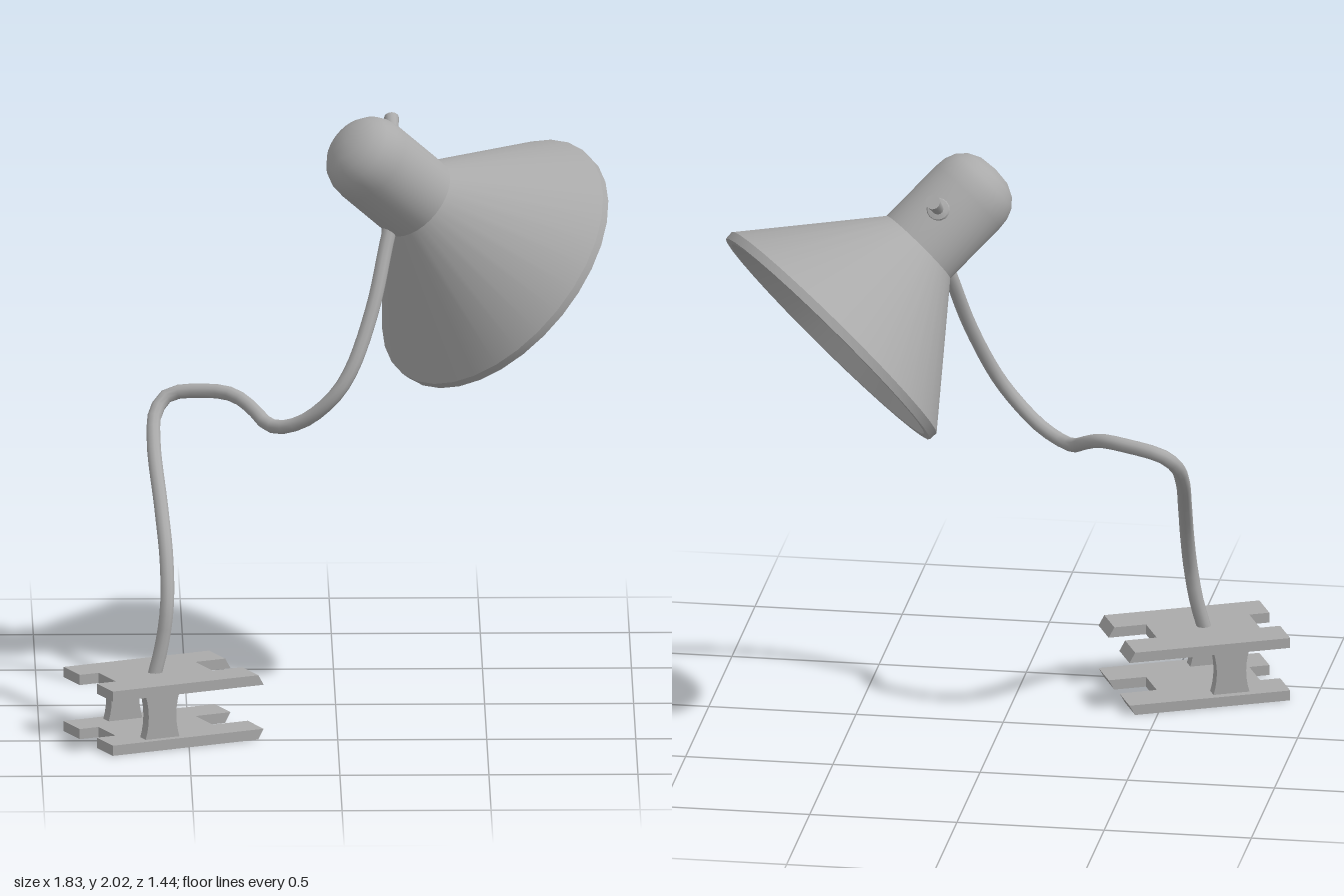
import * as THREE from 'three';
import { toCreasedNormals } from 'three/addons/utils/BufferGeometryUtils.js';

export function createModel() {
  const grey = new THREE.MeshStandardMaterial({ color: 0xaaaaaa });
  grey.name = 'grey';
  const model = new THREE.Group();
  model.name = 'deskLamp';

  const add = (parent, name, geometry) => {
    const mesh = new THREE.Mesh(geometry, grey);
    mesh.name = name;
    parent.add(mesh);
    return mesh;
  };
  const polygon = (pts) => new THREE.Shape(pts.map(([x, y]) => new THREE.Vector2(x, y)));
  const lathe = (pts, sides = 32) =>
    toCreasedNormals(new THREE.LatheGeometry(pts.map(([r, y]) => new THREE.Vector2(r, y)), sides), 0.7);
  const UP = new THREE.Vector3(0, 1, 0);

  // Base clamp: two notched plates held apart by two waisted walls
  const base = new THREE.Group();
  base.name = 'base';
  base.position.set(-0.583, 0, 0.423);
  base.rotation.y = 0.428;
  model.add(base);

  const thick = 0.035;
  const plateGeometry = () => {
    const g = new THREE.ExtrudeGeometry(polygon([
      [-0.28, -0.193], [0.28, -0.193], [0.28, -0.067], [0.15, -0.067], [0.15, 0.067], [0.28, 0.067],
      [0.28, 0.193], [-0.28, 0.193], [-0.28, 0.067], [-0.21, 0.067], [-0.21, -0.067], [-0.28, -0.067],
    ]), { depth: thick, bevelEnabled: false });
    // slant the two front prongs toward the outer face
    const p = g.attributes.position;
    for (let i = 0; i < p.count; i++) {
      if (p.getX(i) > 0.25 && p.getZ(i) > thick / 2) p.setX(i, p.getX(i) - 0.02);
    }
    g.rotateX(-Math.PI / 2);
    g.computeVertexNormals();
    return g;
  };
  add(base, 'upperPlate', plateGeometry()).position.y = 0.187;
  add(base, 'lowerPlate', plateGeometry().rotateX(Math.PI)).position.y = thick;

  const wall = new THREE.Shape();
  wall.moveTo(-0.064, 0.03);
  wall.lineTo(0.064, 0.03);
  wall.quadraticCurveTo(0.038, 0.111, 0.064, 0.192);
  wall.lineTo(-0.064, 0.192);
  wall.quadraticCurveTo(-0.038, 0.111, -0.064, 0.03);
  for (const side of [-1, 1]) {
    const g = new THREE.ExtrudeGeometry(wall, { depth: 0.043, bevelEnabled: false, curveSegments: 6 });
    add(base, 'spacerWall', g.translate(0, 0, -0.0215)).position.set(-0.083, 0, side * 0.145);
  }

  // Bent gooseneck arm
  const path = new THREE.CatmullRomCurve3([
    [-0.62, 0.19, 0.445], [-0.59, 0.31, 0.43], [-0.572, 0.44, 0.41], [-0.572, 0.58, 0.335],
    [-0.588, 0.73, 0.19], [-0.61, 0.9, -0.01], [-0.603, 0.985, -0.105], [-0.56, 1.035, -0.148],
    [-0.44, 1.055, -0.125], [-0.345, 1.052, -0.08], [-0.28, 1.02, -0.02], [-0.235, 0.985, 0.045],
    [-0.19, 0.98, 0.09], [-0.105, 1.015, 0.135], [-0.01, 1.1, 0.162], [0.05, 1.19, 0.148],
    [0.125, 1.39, 0.065], [0.17, 1.58, -0.025], [0.19, 1.66, -0.06],
  ].map((p) => new THREE.Vector3(...p)));
  add(model, 'arm', new THREE.TubeGeometry(path, 54, 0.024, 10));

  // Lamp head, local +y runs from the shade rim back to the cap
  const head = new THREE.Group();
  head.name = 'lampHead';
  head.position.set(0.55, 1.44, -0.29);
  head.quaternion.setFromUnitVectors(UP, new THREE.Vector3(-0.64, 0.64, 0.41).normalize());
  model.add(head);

  add(head, 'shade', lathe([
    [0.125, 0.43], [0.452, 0], [0.48, 0], [0.482, 0.03], [0.145, 0.44],
  ]));
  add(head, 'socketHousing', lathe([
    [0, 0.425], [0.15, 0.425], [0.15, 0.67], [0.146, 0.71], [0.132, 0.745],
    [0.105, 0.775], [0.065, 0.795], [0, 0.803],
  ]));

  // Switch standing on the back of the housing
  const lever = new THREE.Group();
  lever.name = 'switch';
  lever.position.set(0.192, 1.878, -0.172);
  lever.quaternion.setFromUnitVectors(UP, new THREE.Vector3(0, 0.5, -0.866).normalize());
  model.add(lever);
  add(lever, 'switchCollar', lathe([
    [0.036, -0.015], [0.042, 0.005], [0.036, 0.018], [0.018, 0.022],
  ], 16));
  add(lever, 'switchStem', new THREE.CylinderGeometry(0.025, 0.018, 0.16, 12).translate(0, 0.07, 0));

  return model;
}
